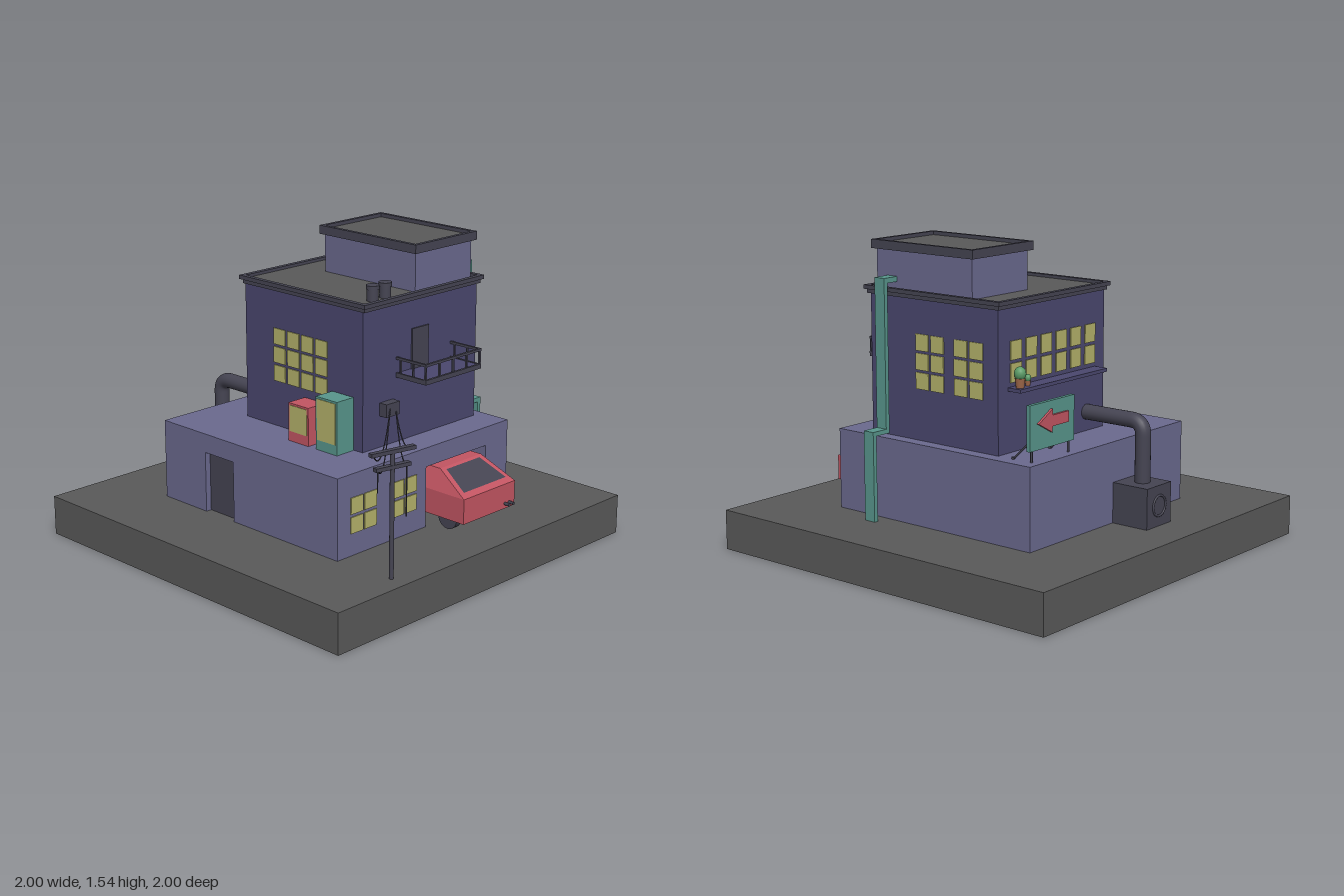
import * as THREE from 'three';

const mat = (color, double) => new THREE.MeshStandardMaterial({ color, flatShading: true, side: double ? THREE.DoubleSide : THREE.FrontSide });
const smooth = (color) => new THREE.MeshStandardMaterial({ color });
const M = {
  ground: mat(0x595959), wall: mat(0x6a698e), tower: mat(0x4a476e), dark: mat(0x454452), metal: smooth(0x454452),
  yellow: mat(0xb4b26a), red: mat(0xc25562), teal: mat(0x58968c), green: smooth(0x5a9a66), pot: smooth(0xa0694a), glass: mat(0x454452, true),
};

export function createModel() {
  const root = new THREE.Group();
  const add = (name, geo, m, x = 0, y = 0, z = 0) => {
    const mesh = new THREE.Mesh(geo, m);
    mesh.name = name;
    mesh.position.set(x, y, z);
    root.add(mesh);
    return mesh;
  };
  // box given by its limits on each axis
  const box = (name, m, x0, x1, y0, y1, z0, z1) =>
    add(name, new THREE.BoxGeometry(x1 - x0, y1 - y0, z1 - z0), m, (x0 + x1) / 2, (y0 + y1) / 2, (z0 + z1) / 2);
  const cyl = (name, m, r0, r1, h, x, y, z, n = 20) => add(name, new THREE.CylinderGeometry(r0, r1, h, n), m, x, y, z);
  const V = (x, y, z) => new THREE.Vector3(x, y, z);
  const rod = (name, a, b, r) => {
    const m = cyl(name, M.metal, r, r, a.distanceTo(b), 0, 0, 0, 8);
    m.position.copy(a).lerp(b, 0.5);
    m.quaternion.setFromUnitVectors(V(0, 1, 0), b.clone().sub(a).normalize());
  };
  const tube = (name, curve, r, n = 32, sides = 12) => add(name, new THREE.TubeGeometry(curve, n, r, sides), M.metal);
  // upright extrusion of a floor plan; plan points are (x, -z)
  const plan = (name, m, shape, y, h) => {
    const g = new THREE.ExtrudeGeometry(shape, { depth: h, bevelEnabled: false });
    g.rotateX(-Math.PI / 2);
    return add(name, g, m, 0, y, 0);
  };
  const poly = (pts) => new THREE.Shape(pts.map((p) => new THREE.Vector2(...p)));
  const rect = (x0, x1, z0, z1) => [[x0, -z1], [x1, -z1], [x1, -z0], [x0, -z0]];
  const parapet = (name, x0, x1, z0, z1, y, h, t) => {
    const s = poly(rect(x0, x1, z0, z1));
    s.holes.push(poly(rect(x0 + t, x1 - t, z0 + t, z1 - t)));
    plan(name, M.dark, s, y, h);
  };

  box('ground', M.ground, -1, 1, 0, 0.2, -1, 1);

  // lower storey with recessed front door and open garage
  plan('lowerStorey', M.wall, poly([
    [-0.6, -0.6], [-0.3, -0.6], [-0.3, -0.56], [-0.1, -0.56], [-0.1, -0.6], [0.6, -0.6],
    [0.6, 0], [0.2, 0], [0.2, 0.435], [0.6, 0.435], [0.6, 0.6], [-0.6, 0.6],
  ]), 0.2, 0.305);
  box('lowerStoreyTop', M.wall, -0.6, 0.6, 0.505, 0.6, -0.6, 0.6);
  box('frontDoor', M.dark, -0.3, -0.1, 0.2, 0.505, 0.55, 0.57);

  // upper storey and roof
  box('upperStorey', M.tower, -0.36, 0.435, 0.6, 1.29, -0.535, 0.265);
  box('roof', M.ground, -0.365, 0.44, 1.28, 1.305, -0.54, 0.265);
  parapet('lowerParapet', -0.373, 0.448, -0.548, 0.27, 1.28, 0.023, 0.03);
  parapet('upperParapet', -0.387, 0.46, -0.56, 0.281, 1.3, 0.02, 0.025);
  box('penthouse', M.wall, -0.185, 0.415, 1.3, 1.5, -0.51, -0.11);
  box('penthouseRoof', M.ground, -0.19, 0.42, 1.497, 1.52, -0.515, -0.105);
  parapet('penthouseParapet', -0.205, 0.433, -0.53, -0.09, 1.495, 0.043, 0.02);
  for (const z of [0.06, 0.145]) {
    cyl('roofVent', M.metal, 0.028, 0.028, 0.08, 0.38, 1.335, z);
    cyl('roofVentCap', M.metal, 0.032, 0.032, 0.02, 0.38, 1.37, z);
  }

  // window panes on each wall
  const t = 0.005;
  for (let r = 0; r < 3; r++) {
    const y = 0.83 + r * 0.0925;
    for (let c = 0; c < 4; c++) {
      const x = -0.16 + c * 0.095;
      box('frontPane', M.yellow, x, x + 0.08, y, y + 0.08, 0.26, 0.265 + t);
      const bx = [-0.27, -0.175, -0.03, 0.065][c];
      box('backPane', M.yellow, bx, bx + 0.08, y + 0.02, y + 0.1, -0.535 - t, -0.53);
    }
  }
  for (let r = 0; r < 2; r++) {
    for (const z of [0.07, 0.16, 0.345, 0.435])
      box('lowerPane', M.yellow, 0.59, 0.6 + t, 0.31 + r * 0.095, 0.39 + r * 0.095, z, z + 0.08);
    for (let c = 0; c < 6; c++) {
      const z = -0.45 + c * 0.112;
      box('leftPane', M.yellow, -0.36 - t, -0.35, 0.93 + r * 0.105, 1.02 + r * 0.105, z, z + 0.08);
    }
  }

  // window shelf with potted plants
  box('windowShelf', M.tower, -0.435, -0.355, 0.893, 0.91, -0.465, 0.195);
  for (const [x, z, s] of [[-0.403, -0.43, 1], [-0.4, -0.37, 0.55]]) {
    cyl('plantPot', M.pot, 0.025 * s, 0.019 * s, 0.045 * s, x, 0.91 + 0.0225 * s, z, 14);
    add('cactus', new THREE.SphereGeometry(0.029 * s, 16, 12), M.green, x, 0.91 + 0.066 * s, z).scale.y = 1.15;
  }

  // vending machines
  for (const [m, x0, x1, h] of [[M.red, 0.055, 0.19, 0.79], [M.teal, 0.24, 0.38, 0.862]]) {
    box('vendingMachine', m, x0, x1, 0.6, h, 0.27, 0.38);
    box('vendingWindow', M.yellow, x0 + 0.01, x1 - 0.01, 0.65, h - 0.01, 0.37, 0.383);
  }

  // balcony
  box('balconyDoor', M.dark, 0.43, 0.443, 0.935, 1.14, -0.18, -0.065);
  box('balconyFloor', M.tower, 0.43, 0.62, 0.925, 0.942, -0.35, 0.04);
  box('balconyEdge', M.dark, 0.612, 0.625, 0.922, 0.945, -0.355, 0.04);
  for (const z of [-0.35, 0.035]) {
    box('balconySideEdge', M.dark, 0.435, 0.625, 0.922, 0.945, z - 0.005, z + 0.005);
    box('balconySideRail', M.dark, 0.435, 0.625, 1.01, 1.022, z - 0.006, z + 0.006);
    for (const x of [0.46, 0.54]) box('balconyPost', M.dark, x - 0.004, x + 0.004, 0.94, 1.012, z - 0.004, z + 0.004);
  }
  box('balconyRail', M.dark, 0.612, 0.625, 1.01, 1.022, -0.356, 0.041);
  for (let i = 0; i < 5; i++) {
    const z = -0.35 + i * 0.09625;
    box('balconyPost', M.dark, 0.614, 0.623, 0.94, 1.012, z - 0.005, z + 0.005);
  }

  // flat duct on the back wall
  const duct = (y0, y1, z0, z1) => box('duct', M.teal, 0.285, 0.347, y0, y1, z0, z1);
  duct(1.345, 1.37, -0.6, -0.5);
  duct(0.62, 1.37, -0.6, -0.578);
  duct(0.62, 0.642, -0.69, -0.578);
  duct(0.2, 0.642, -0.69, -0.668);

  // arrow sign on the lower roof
  box('signBoard', M.teal, -0.567, -0.547, 0.655, 0.87, -0.56, -0.235);
  const arrow = new THREE.ExtrudeGeometry(
    poly([[-0.11, 0], [-0.01, 0.055], [-0.01, 0.026], [0.11, 0.026], [0.11, -0.026], [-0.01, -0.026], [-0.01, -0.055]]),
    { depth: 0.012, bevelEnabled: false });
  add('signArrow', arrow, M.red, -0.567, 0.778, -0.4).rotation.y = -Math.PI / 2;
  for (const z of [-0.53, -0.26]) {
    rod('signLeg', V(-0.552, 0.6, z), V(-0.552, 0.68, z), 0.006);
    rod('signBrace', V(-0.55, 0.7, z), V(-0.445, 0.6, z), 0.005);
    cyl('signFoot', M.metal, 0.009, 0.009, 0.01, -0.445, 0.605, z, 10);
  }

  // ventilation unit with bent pipe
  box('ventUnit', M.dark, -0.8, -0.6, 0.2, 0.4, 0.03, 0.225);
  const pipe = new THREE.CurvePath();
  pipe.add(new THREE.LineCurve3(V(-0.7, 0.38, 0.13), V(-0.7, 0.63, 0.13)));
  pipe.add(new THREE.QuadraticBezierCurve3(V(-0.7, 0.63, 0.13), V(-0.7, 0.695, 0.13), V(-0.63, 0.695, 0.13)));
  pipe.add(new THREE.LineCurve3(V(-0.63, 0.695, 0.13), V(-0.35, 0.695, 0.13)));
  tube('ventPipe', pipe, 0.038, 60, 20);
  for (const x of [-0.74, -0.7, -0.66])
    tube('ventHose', new THREE.CatmullRomCurve3([V(x, 0.262, 0.2), V(x, 0.262, 0.23), V(x, 0.245, 0.25), V(x, 0.2, 0.25)]), 0.011);
  add('ventFanRing', new THREE.TorusGeometry(0.05, 0.006, 8, 24), M.metal, -0.8, 0.3, 0.13).rotation.y = Math.PI / 2;

  // car parked tail-out in the garage
  box('carBody', M.red, 0.25, 0.82, 0.265, 0.39, -0.397, -0.022);
  const cabin = new THREE.BoxGeometry(0.57, 0.1, 0.375);
  const p = cabin.attributes.position;
  for (let i = 0; i < p.count; i++) if (p.getY(i) > 0) {
    p.setZ(i, p.getZ(i) * 0.79);
    if (p.getX(i) > 0) p.setX(i, p.getX(i) - 0.185);
  }
  cabin.computeVertexNormals();
  add('carCabin', cabin, M.red, 0.535, 0.44, -0.2095);
  const pane = new THREE.BufferGeometry();
  pane.setAttribute('position', new THREE.Float32BufferAttribute(
    [0.65, 0.483, -0.33, 0.65, 0.483, -0.089, 0.79, 0.4085, -0.056, 0.79, 0.4085, -0.363], 3));
  pane.setIndex([0, 1, 2, 0, 2, 3]);
  pane.computeVertexNormals();
  add('carRearWindow', pane, M.glass);
  for (const x of [0.36, 0.71]) for (const z of [-0.05, -0.37])
    cyl('wheel', M.metal, 0.058, 0.058, 0.035, x, 0.27, z, 24).rotation.x = Math.PI / 2;
  for (const z of [-0.325, -0.355]) rod('exhaust', V(0.8, 0.29, z), V(0.85, 0.29, z), 0.008);

  // utility pole, cross arms and cables
  box('junctionBox', M.dark, 0.43, 0.48, 0.755, 0.82, 0.06, 0.15);
  cyl('pole', M.metal, 0.011, 0.011, 0.6, 0.908, 0.5, 0.57, 12);
  const dir = V(-0.218, 0, 0.976);
  for (const [y, len, sag] of [[0.802, 0.235, 0.18], [0.73, 0.185, 0.2]]) {
    add('crossArm', new THREE.BoxGeometry(0.026, 0.018, len), M.dark, 0.908, y, 0.57).rotation.y = -0.22;
    for (const s of [-1, 1]) {
      const end = V(0.908, y, 0.57).addScaledVector(dir, s * (len / 2 - 0.015));
      const start = V(0.475, 0.787 + s * 0.012, 0.1 + s * 0.02);
      const mid = start.clone().lerp(end, 0.5);
      mid.y -= sag + s * 0.05;
      tube('cable', new THREE.QuadraticBezierCurve3(start, mid, end), 0.003, 20, 6);
      if (y < 0.8) rod('looseCable', end, V(end.x, s > 0 ? 0.62 : 0.48, end.z), 0.003);
    }
  }
  return root;
}
